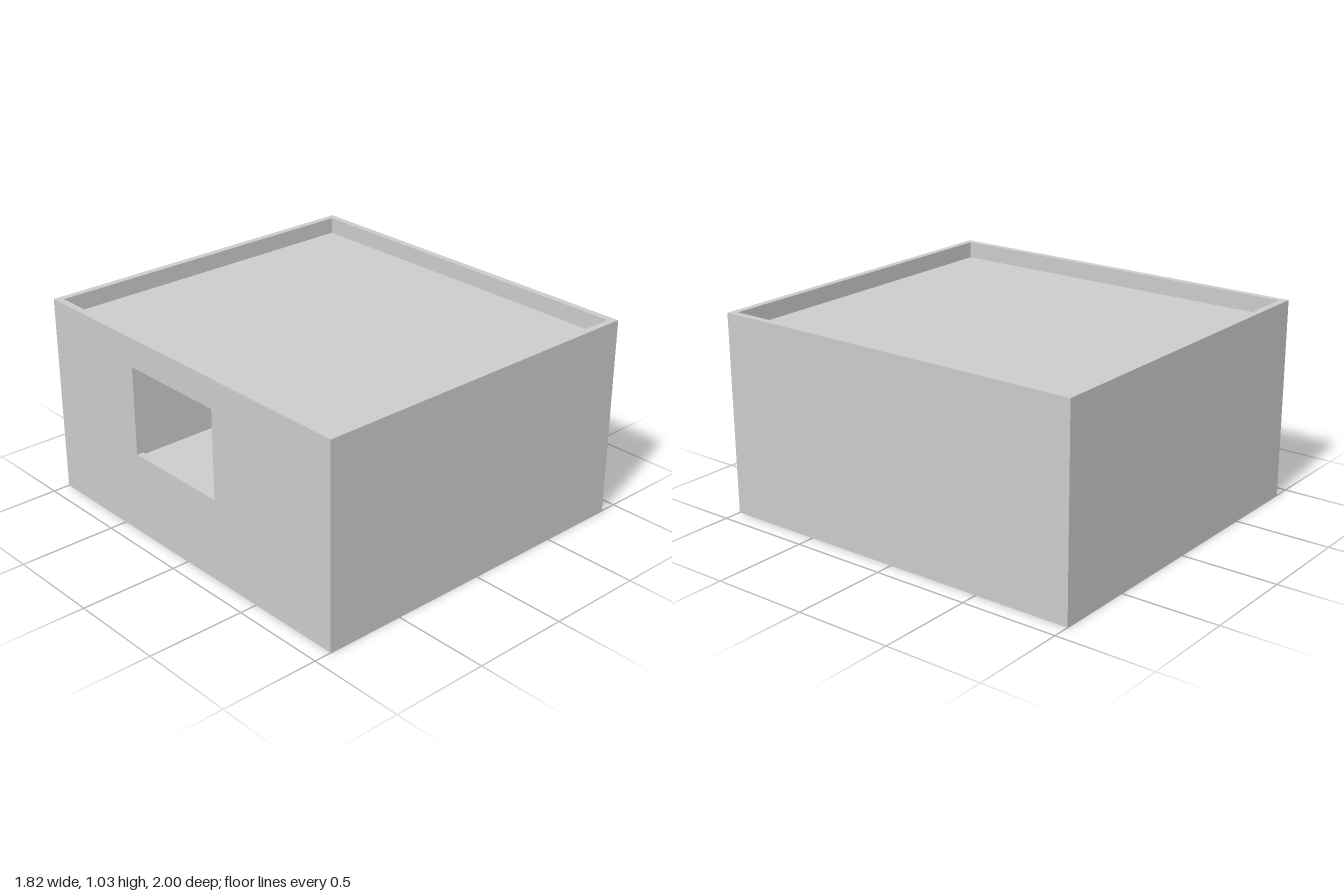
import * as THREE from 'three';

const W = 1.82, D = 2, H = 1.03;      // outer size
const T = 0.035;                      // wall and slab thickness
const ROOF_Y = 0.945;                 // top of the sunken roof
const WIN = { z: -0.075, y: 0.653, w: 0.59, h: 0.457 };

const material = new THREE.MeshStandardMaterial({ color: 0xcccccc, side: THREE.DoubleSide });

function rect(target, x0, x1, y0, y1) {
  target.moveTo(x0, y0);
  target.lineTo(x1, y0);
  target.lineTo(x1, y1);
  target.lineTo(x0, y1);
  target.closePath();
  return target;
}

function add(parent, name, geometry, x = 0, y = 0, z = 0) {
  const mesh = new THREE.Mesh(geometry, material);
  mesh.name = name;
  mesh.position.set(x, y, z);
  parent.add(mesh);
  return mesh;
}

// Upright wall sheet facing the given angle; holeX is the window centre along the sheet
function wallSheet(parent, name, width, y0, angle, distance, holeX = null) {
  const shape = rect(new THREE.Shape(), -width / 2, width / 2, y0, H);
  if (holeX !== null) {
    shape.holes.push(rect(new THREE.Path(), holeX - WIN.w / 2, holeX + WIN.w / 2,
      WIN.y - WIN.h / 2, WIN.y + WIN.h / 2));
  }
  const geometry = new THREE.ShapeGeometry(shape).translate(0, 0, distance).rotateY(angle);
  add(parent, name, geometry);
}

export function createModel() {
  const model = new THREE.Group();
  model.name = 'room';

  // Double-skinned walls, open along the bottom edge
  const sides = [
    { name: 'front', angle: 0, width: W, reach: D / 2 },
    { name: 'left', angle: Math.PI / 2, width: D, reach: W / 2 },
    { name: 'back', angle: Math.PI, width: W, reach: D / 2 },
    { name: 'right', angle: -Math.PI / 2, width: D, reach: W / 2, window: true },
  ];
  for (const s of sides) {
    const wall = new THREE.Group();
    wall.name = s.name + 'Wall';
    wallSheet(wall, s.name + 'OuterSkin', s.width, 0, s.angle, s.reach, s.window ? WIN.z : null);
    wallSheet(wall, s.name + 'InnerSkin', s.width - 2 * T, T, s.angle + Math.PI, T - s.reach,
      s.window ? -WIN.z : null);
    model.add(wall);
  }

  // Flat rim joining the two skins along the top
  const rim = rect(new THREE.Shape(), -W / 2, W / 2, -D / 2, D / 2);
  rim.holes.push(rect(new THREE.Path(), T - W / 2, W / 2 - T, T - D / 2, D / 2 - T));
  add(model, 'parapetRim', new THREE.ShapeGeometry(rim).rotateX(-Math.PI / 2), 0, H, 0);

  // Window reveal: sill, head and two jambs
  const reveal = new THREE.Group();
  reveal.name = 'windowReveal';
  reveal.position.set(-W / 2 + T / 2, WIN.y, WIN.z);
  for (const s of [-1, 1]) {
    add(reveal, s < 0 ? 'windowSill' : 'windowHead',
      new THREE.PlaneGeometry(T, WIN.w).rotateX(s * Math.PI / 2), 0, s * WIN.h / 2, 0);
    add(reveal, s < 0 ? 'backJamb' : 'frontJamb',
      new THREE.PlaneGeometry(T, WIN.h).rotateY(s < 0 ? 0 : Math.PI), 0, 0, s * WIN.w / 2);
  }
  model.add(reveal);

  // Floor and roof slabs between the walls
  const slab = new THREE.BoxGeometry(W - 2 * T, T, D - 2 * T);
  add(model, 'floor', slab, 0, T / 2, 0);
  add(model, 'roof', slab, 0, ROOF_Y - T / 2, 0);

  return model;
}
